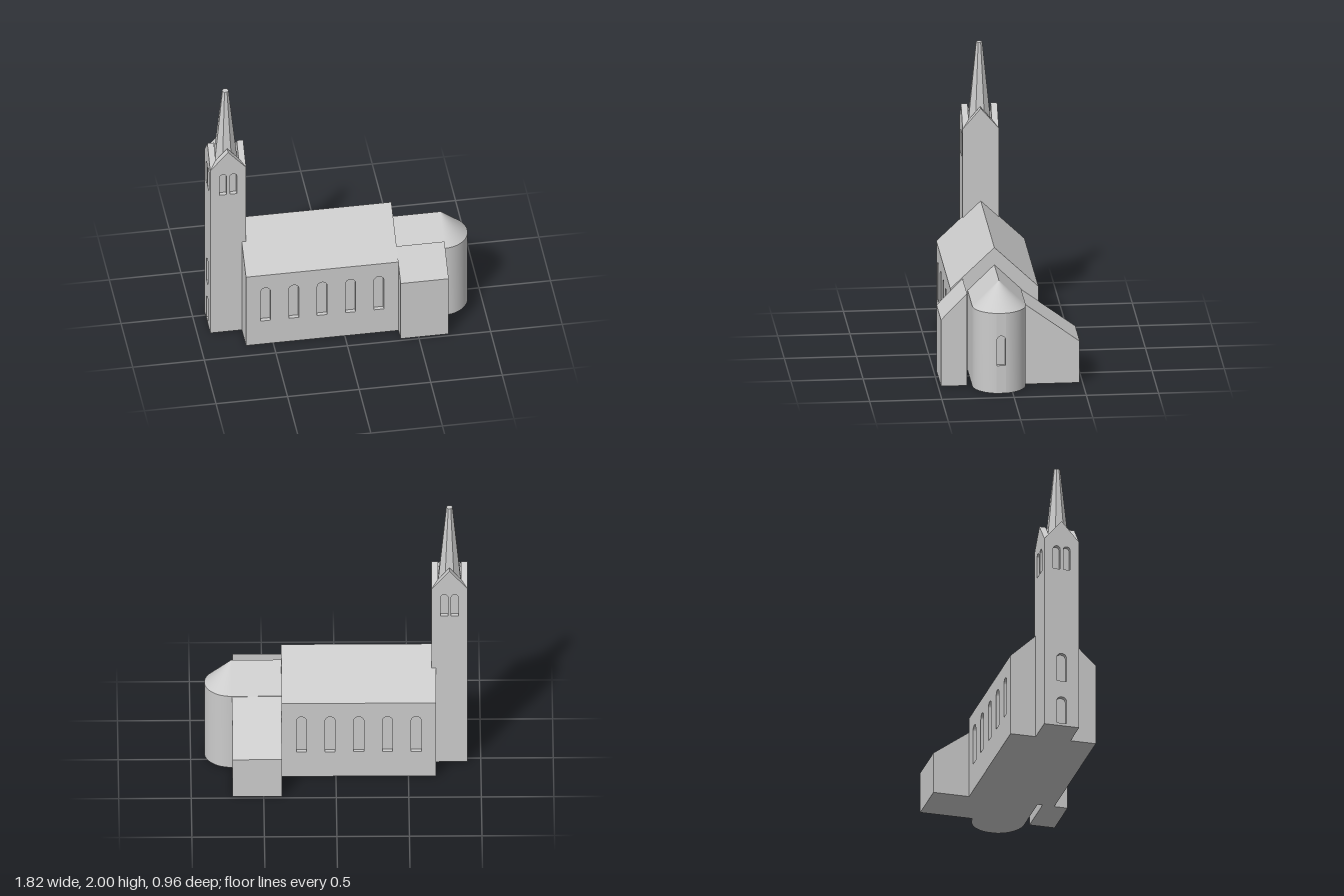
import * as THREE from 'three';
import { toCreasedNormals } from 'three/addons/utils/BufferGeometryUtils.js';

const AXIS = 0.08;    // z of the ridge line shared by tower, nave and apse
const RECESS = 0.03;  // depth of the window niches

export function createModel() {
  const church = new THREE.Group();
  church.name = 'church';
  const stone = new THREE.MeshStandardMaterial({ color: 0xcccccc });
  stone.name = 'pale grey stone';

  function add(name, geometry, x = 0, y = 0, z = 0, turn = 0) {
    const mesh = new THREE.Mesh(geometry, stone);
    mesh.name = name;
    mesh.position.set(x, y, z);
    mesh.rotation.y = turn;
    church.add(mesh);
    return mesh;
  }

  const polygon = (pts) => new THREE.Shape(pts.map(([a, b]) => new THREE.Vector2(a, b)));

  // Solid with a [z, y] profile, running from x0 to x1
  function prismX(profile, x0, x1) {
    const shape = polygon(profile.map(([z, y]) => [-z, y]));
    return new THREE.ExtrudeGeometry(shape, { depth: x1 - x0, bevelEnabled: false })
      .rotateY(Math.PI / 2).translate(x0, 0, 0);
  }

  // Wall slab pierced by round-headed openings: [centre, bottom, top, width]
  function wall(width, height, openings) {
    const w = width / 2;
    const shape = polygon([[-w, 0], [w, 0], [w, height], [-w, height]]);
    for (const [c, y0, y1, ow] of openings) {
      const r = ow / 2;
      const hole = new THREE.Path();
      hole.moveTo(c - r, y0);
      hole.lineTo(c + r, y0);
      hole.lineTo(c + r, y1 - r);
      hole.absarc(c, y1 - r, r, 0, Math.PI, false);
      hole.closePath();
      shape.holes.push(hole);
    }
    const g = new THREE.ExtrudeGeometry(shape, { depth: RECESS, bevelEnabled: false, curveSegments: 10 });
    return toCreasedNormals(g, 0.6);
  }

  // Nave: gabled core with a windowed wall on each long side
  const nx0 = -0.69, nx1 = 0.375, nh = 0.305, eave = 0.595;
  const nIn = nh - RECESS;
  add('nave', prismX([
    [-nIn, 0], [nIn, 0], [nIn, eave], [nh, eave], [0, 0.885], [-nh, eave], [-nIn, eave],
  ], nx0, nx1), 0, 0, AXIS);
  const naveWindows = [-2, -1, 0, 1, 2].map((i) => [i * 0.198, 0.2, 0.485, 0.07]);
  const naveWall = wall(nx1 - nx0, eave, naveWindows);
  const nc = (nx0 + nx1) / 2;
  add('naveFrontWall', naveWall, nc, 0, AXIS + nIn);
  add('naveBackWall', naveWall, nc, 0, AXIS - nIn, Math.PI);

  // Tower: core with four wall slabs
  const tx = -0.785, th = 0.125, top = 1.41, tIn = th - RECESS;
  add('towerCore', new THREE.BoxGeometry(2 * tIn, top, 2 * tIn), tx, top / 2, AXIS);
  const belfry = [[-0.036, 1.19, 1.365, 0.05], [0.036, 1.19, 1.365, 0.05]];
  const broad = wall(2 * th, top, belfry);
  add('towerFrontWall', broad, tx, 0, AXIS + tIn);
  add('towerBackWall', broad, tx, 0, AXIS - tIn, Math.PI);
  add('towerDoorWall', wall(2 * tIn, top, [
    ...belfry, [0, 0.34, 0.55, 0.07], [0, 0.02, 0.22, 0.07],
  ]), tx - tIn, 0, AXIS, -Math.PI / 2);
  add('towerNaveWall', wall(2 * tIn, top, []), tx + tIn, 0, AXIS, Math.PI / 2);

  // Ring of four mitred gables around the spire
  const inner = 0.08, rise = 0.145;
  const mitre = rise * (1 - inner / th);
  const L = [-th, 0, th], R = [th, 0, th], P = [0, rise, th];
  const l = [-inner, mitre, inner], r = [inner, mitre, inner], p = [0, rise, inner];
  const fl = [-inner, 0, inner], fr = [inner, 0, inner];
  const gable = new THREE.BufferGeometry();
  gable.setAttribute('position', new THREE.Float32BufferAttribute([
    L, R, P,                       // outer face
    L, P, p, L, p, l,              // roof slopes
    R, p, P, R, r, p,
    fr, fl, l, fr, l, p, fr, p, r, // face towards the spire
  ].flat(), 3));
  gable.computeVertexNormals();
  for (let i = 0; i < 4; i++) add('towerGable', gable, tx, top, AXIS, i * Math.PI / 2);

  // Eight-sided spire with a blunt tip
  const spire = toCreasedNormals(
    new THREE.CylinderGeometry(0.023, 0.086, 2 - top, 8).rotateY(Math.PI / 8), 0.3);
  add('spire', spire, tx, (2 + top) / 2, AXIS);

  // Choir with rounded apse; a slot at the end takes the window slab
  const cx = 0.72, cr = 0.185, ch = 0.58, slot = 0.032;
  const a0 = Math.asin(slot / cr);
  const face = cx + cr * Math.cos(a0);
  const half = [];
  for (let i = 0; i <= 20; i++) {
    const a = Math.PI / 2 + (a0 - Math.PI / 2) * i / 20;
    half.push([cx + cr * Math.cos(a), cr * Math.sin(a)]);
  }
  half.push([face - RECESS, slot]);
  const mirrored = half.map(([x, z]) => [x, -z]).reverse();
  const plan = polygon([[nx1, cr], ...half, ...mirrored, [nx1, -cr]]);
  const body = new THREE.ExtrudeGeometry(plan, { depth: ch, bevelEnabled: false }).rotateX(-Math.PI / 2);
  add('choirAndApse', toCreasedNormals(body, 0.5), 0, 0, AXIS);
  add('apseWindowWall', wall(2 * slot, ch, [[0, 0.2, 0.415, 0.058]]),
    face - RECESS, 0, AXIS, Math.PI / 2);

  // Choir roof and the half cone over the apse
  const roofRise = 0.18;
  add('choirRoof', prismX([[-cr, ch], [cr, ch], [0, ch + roofRise]], nx1, cx), 0, 0, AXIS);
  add('apseRoof', new THREE.ConeGeometry(cr, roofRise, 32, 1, true, 0, Math.PI),
    cx, ch + roofRise / 2, AXIS);

  // Lean-to side rooms
  add('frontSideRoom', prismX([[0.3, 0], [0.48, 0], [0.48, 0.48], [0.3, 0.667]], nx1, 0.71));
  add('backSideRoom', prismX([[-0.48, 0], [-0.1, 0], [-0.1, ch], [-0.48, 0.3]], nx1, 0.715));

  return church;
}
